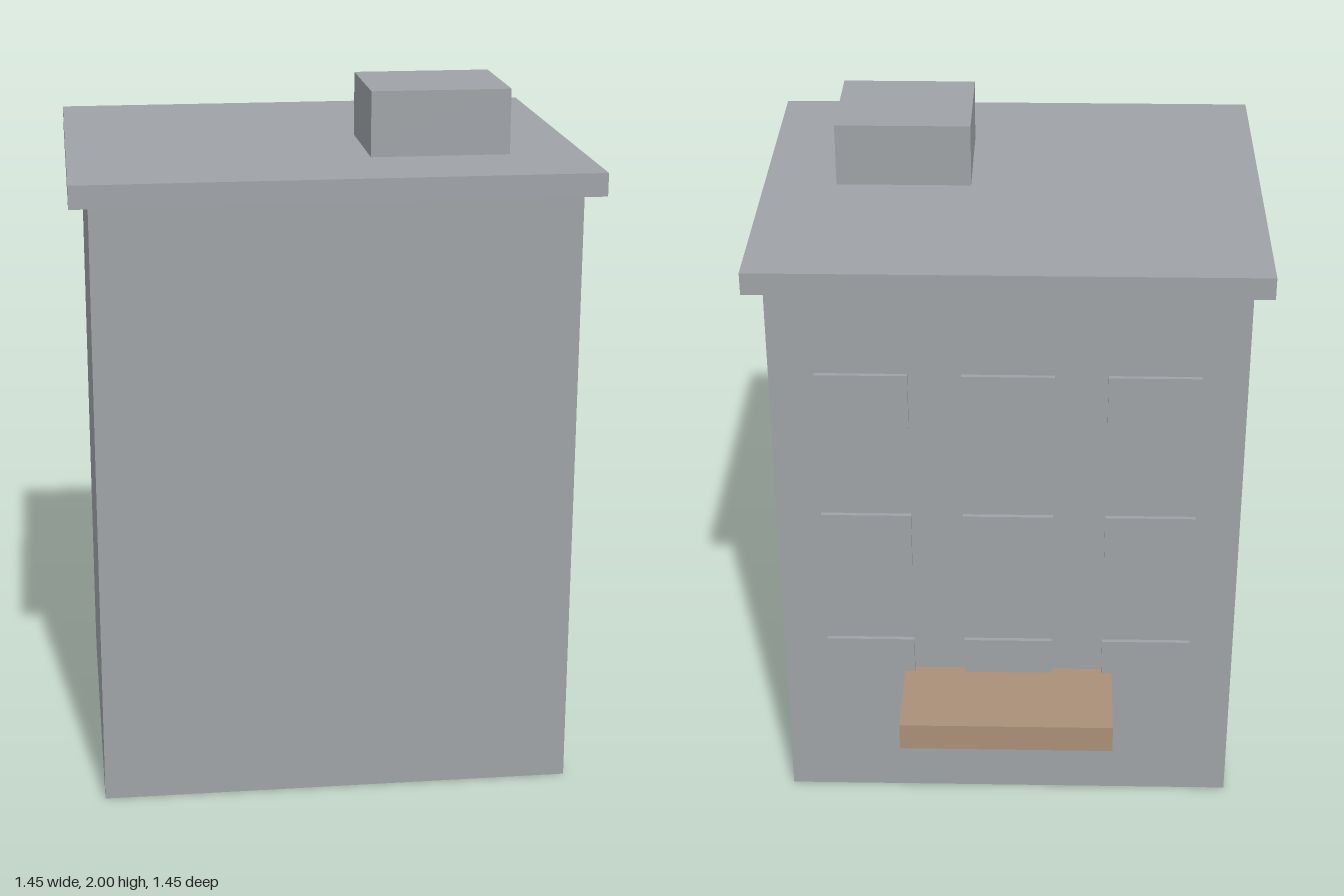
import * as THREE from 'three';

export function createModel() {
  const model = new THREE.Group();
  model.name = 'apartmentBlock';

  const concrete = new THREE.MeshStandardMaterial({ color: 0x9fa3a7 });
  concrete.name = 'concrete grey';
  const timber = new THREE.MeshStandardMaterial({ color: 0xaa9078 });
  timber.name = 'timber tan';

  // Box given by its extents along each axis
  function addBox(name, material, [x0, x1], [y0, y1], [z0, z1], parent = model) {
    const mesh = new THREE.Mesh(new THREE.BoxGeometry(x1 - x0, y1 - y0, z1 - z0), material);
    mesh.position.set((x0 + x1) / 2, (y0 + y1) / 2, (z0 + z1) / 2);
    mesh.name = name;
    parent.add(mesh);
  }

  // Main block, overhanging roof slab and rooftop hut
  addBox('walls', concrete, [-0.675, 0.675], [0, 1.75], [-0.44, 0.675]);
  addBox('roofSlab', concrete, [-0.727, 0.727], [1.75, 1.815], [-0.505, 0.727]);
  addBox('roofHut', concrete, [0.12, 0.515], [1.815, 2], [0.085, 0.435]);

  // Canopy on the back wall
  addBox('canopy', timber, [-0.313, 0.313], [0.37, 0.455], [-0.727, -0.44]);

  // Three rows of window panels, set just off the back wall
  const windows = new THREE.Group();
  windows.name = 'windows';
  model.add(windows);
  for (const y of [0.396, 0.837, 1.301]) {
    for (const x of [-0.413, 0, 0.413]) {
      addBox('windowPanel', concrete, [x - 0.131, x + 0.131], [y, y + 0.177], [-0.462, -0.449], windows);
    }
  }

  return model;
}
